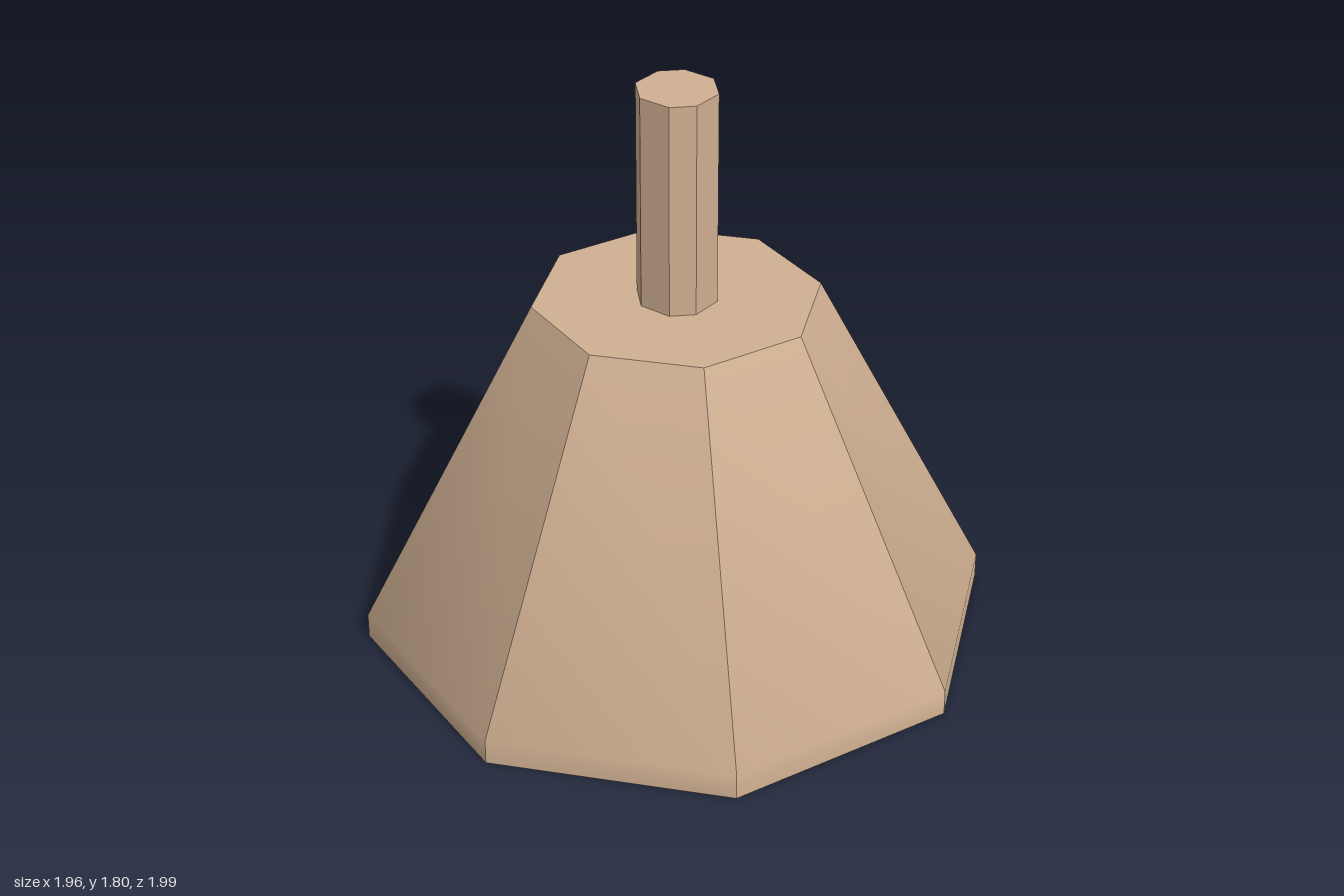
import * as THREE from 'three';
import { toCreasedNormals } from 'three/addons/utils/BufferGeometryUtils.js';

export function createModel() {
  const model = new THREE.Group();
  const tan = new THREE.MeshStandardMaterial({ color: 0xd0b092 });
  tan.name = 'tan';

  // Eight-sided tapered body with a short upright rim, creased between facets
  const profile = [[0, 0], [0.997, 0], [0.997, 0.08], [0.448, 1.125], [0, 1.125]]
    .map(([r, y]) => new THREE.Vector2(r, y));
  const bodyGeometry = new THREE.LatheGeometry(profile, 8, THREE.MathUtils.degToRad(2.5));
  bodyGeometry.scale(0.985, 1, 1);
  const body = new THREE.Mesh(toCreasedNormals(bodyGeometry, 0.58), tan);
  body.name = 'taperedBody';
  model.add(body);

  // Slim eight-sided stem
  const corners = [[0.115, -0.055], [0.115, 0.055], [0.04, 0.13], [-0.04, 0.13],
    [-0.115, 0.055], [-0.115, -0.055], [-0.04, -0.13], [0.04, -0.13]];
  const outline = new THREE.Shape(corners.map(([x, y]) => new THREE.Vector2(x, y)));
  const stemGeometry = new THREE.ExtrudeGeometry(outline, { depth: 0.675, bevelEnabled: false });
  stemGeometry.rotateX(-Math.PI / 2);
  const stem = new THREE.Mesh(stemGeometry, tan);
  stem.name = 'stem';
  stem.position.y = 1.125;
  model.add(stem);

  return model;
}
